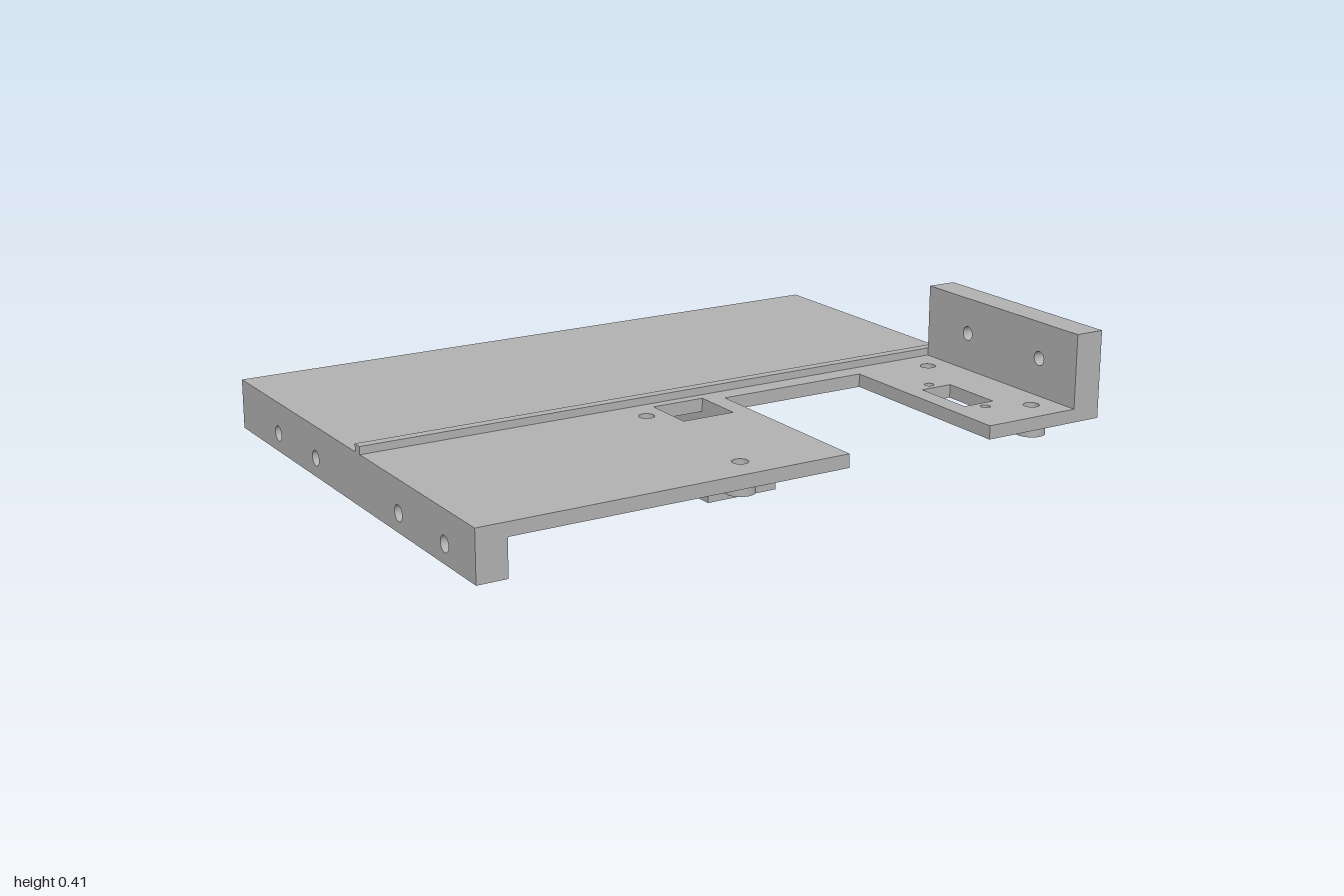
import * as THREE from 'three';

const grey = new THREE.MeshStandardMaterial({ color: 0xb2b2b2 });
grey.name = 'plain grey';

// Closed outline with rectangular [x0, y0, x1, y1] and round [x, y, r] holes
function outline(points, rects = [], rounds = []) {
  const shape = new THREE.Shape(points.map(([x, y]) => new THREE.Vector2(x, y)));
  for (const [x0, y0, x1, y1] of rects) {
    shape.holes.push(new THREE.Path([
      new THREE.Vector2(x0, y0), new THREE.Vector2(x0, y1),
      new THREE.Vector2(x1, y1), new THREE.Vector2(x1, y0),
    ]));
  }
  for (const [x, y, r] of rounds) {
    shape.holes.push(new THREE.Path().absarc(x, y, r, 0, Math.PI * 2, true));
  }
  return shape;
}

const rect = (x0, y0, x1, y1) => [[x0, y0], [x1, y0], [x1, y1], [x0, y1]];
const extrude = (shape, depth) =>
  new THREE.ExtrudeGeometry(shape, { depth, bevelEnabled: false, curveSegments: 20 });

export function createModel() {
  const model = new THREE.Group();
  model.name = 'mountingPlate';

  function add(name, geometry) {
    const mesh = new THREE.Mesh(geometry, grey);
    mesh.name = name;
    model.add(mesh);
    return mesh;
  }
  function box(name, x0, x1, y0, y1, z0, z1) {
    add(name, new THREE.BoxGeometry(x1 - x0, y1 - y0, z1 - z0)
      .translate((x0 + x1) / 2, (y0 + y1) / 2, (z0 + z1) / 2));
  }
  // Upright panel drawn in (z, y), with its thickness along x
  function sidePanel(name, shape, x0, x1) {
    add(name, extrude(shape, x1 - x0).rotateY(-Math.PI / 2).translate(x1, 0, 0));
  }

  const under = 0.145, top = 0.185, low = 0.035, back = -0.762, front = 0.762;
  const bosses = [];
  for (const x of [-0.163, 0.835]) for (const z of [0.183, 0.664]) bosses.push([x, z]);

  // Notched deck, drawn in (x, -z)
  const deck = outline(
    [[-1, -front], [0.123, -front], [0.123, -0.148], [0.604, -0.148],
      [0.604, -front], [1, -front], [1, -back], [-1, -back]],
    [[-0.1, -0.28, 0.065, -0.117], [0.662, -0.577, 0.765, -0.38]],
    [...bosses.map(([x, z]) => [x, -z, 0.023]), [0.713, -0.347, 0.014], [0.713, -0.608, 0.014]],
  );
  add('deck', extrude(deck, top - under).rotateX(-Math.PI / 2).translate(0, under, 0));

  // Raised rib across the deck
  box('rib', -1, 1, top, 0.208, 0.055, 0.086);

  // Upright bracket wall with two holes
  sidePanel('bracketWall', outline(rect(0.086, top, front, 0.405), [],
    [[0.275, 0.297, 0.021], [0.602, 0.297, 0.021]]), 0.91, 1);

  // Drilled back flange, either side of the duct
  const holes = [-0.84, -0.62, -0.29, 0.145, 0.42, 0.638, 0.857];
  for (const [x0, x1] of [[-1, -0.13], [0.095, 1]]) {
    const drilled = holes.filter((x) => x > x0 && x < x1).map((x) => [x, 0.09, 0.023]);
    add('backFlange', extrude(outline(rect(x0, low, x1, under), [], drilled), 0.087)
      .translate(0, 0, back));
  }

  // Side flange in two layers, so that the end holes stay blind
  const through = [[-0.22, 0.09, 0.023], [0.32, 0.09, 0.023]];
  const blind = [[-0.49, 0.09, 0.023], [0.59, 0.09, 0.023]];
  const flangeSide = rect(-0.675, low, front, under);
  sidePanel('sideFlangeOuter', outline(flangeSide, [], [...through, ...blind]), -1, -0.94);
  sidePanel('sideFlangeInner', outline(flangeSide, [], through), -0.94, -0.91);

  // Hollow duct, open at the back and up through the deck
  box('ductFloor', -0.13, 0.095, 0, 0.032, back, 0.455);
  box('ductWallRight', -0.13, -0.1, 0.032, under, back, 0.455);
  box('ductWallLeft', 0.065, 0.095, 0.032, under, back, 0.455);
  box('ductEnd', -0.1, 0.065, 0.032, under, 0.28, 0.455);

  // Round bosses under the deck holes
  for (const [x, z] of bosses) {
    add('boss', new THREE.CylinderGeometry(0.043, 0.043, 0.045, 32).translate(x, 0.1225, z));
  }
  return model;
}
